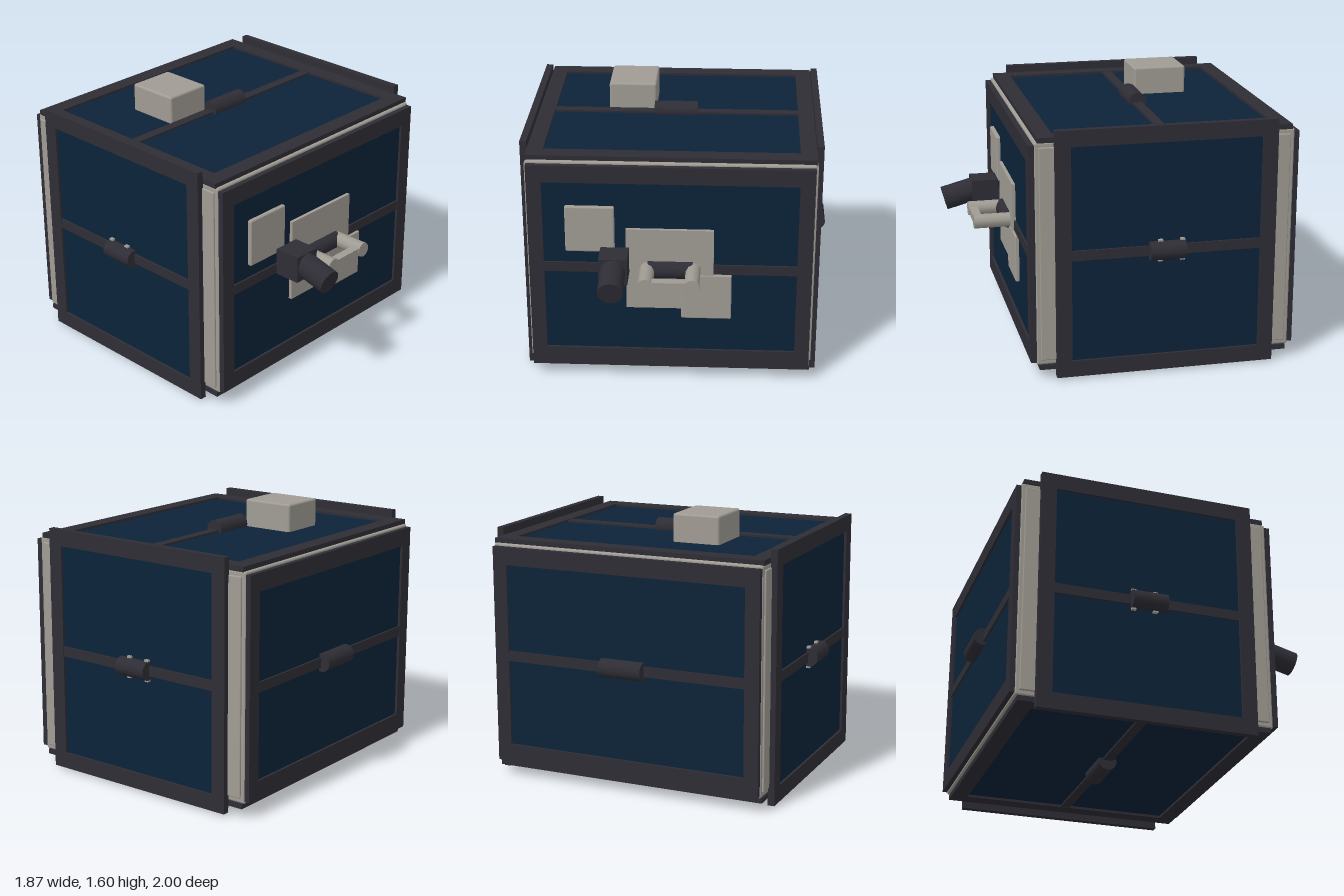
import * as THREE from 'three';
import { RoundedBoxGeometry } from 'three/addons/geometries/RoundedBoxGeometry.js';

const frameMat = new THREE.MeshStandardMaterial({ color: 0x2e2d35 });
frameMat.name = 'charcoal frame';
const panelMat = new THREE.MeshStandardMaterial({ color: 0x0c2339 });
panelMat.name = 'navy panel';
const greyMat = new THREE.MeshStandardMaterial({ color: 0xa09c94 });
greyMat.name = 'warm grey';

const CY = 0.7525, CZ = -0.16; // centre of the body

function add(parent, name, geometry, material, x = 0, y = 0, z = 0) {
  const mesh = new THREE.Mesh(geometry, material);
  mesh.name = name;
  mesh.position.set(x, y, z);
  parent.add(mesh);
  return mesh;
}

// Box given by its lower and upper corners, with optional rounded edges
function block(parent, name, material, a, b, radius = 0) {
  const s = b.map((v, i) => v - a[i]);
  const c = b.map((v, i) => (v + a[i]) / 2);
  const geo = radius ? new RoundedBoxGeometry(...s, 2, radius) : new THREE.BoxGeometry(...s);
  return add(parent, name, geo, material, ...c);
}

function rectangle(Type, w, h) {
  return new Type([[-w, -h], [w, -h], [w, h], [-w, h]].map(([x, y]) => new THREE.Vector2(x / 2, y / 2)));
}

// Framed panel facing local +z: frame, recessed sheet, middle bar and barrel grip
function framedPanel({ name, size, opening, depth, grip, position, rotation }) {
  const group = new THREE.Group();
  group.name = name;
  const shape = rectangle(THREE.Shape, ...size);
  shape.holes.push(rectangle(THREE.Path, ...opening));
  add(group, 'frame', new THREE.ExtrudeGeometry(shape, { depth, bevelEnabled: false }), frameMat, 0, 0, -depth);
  add(group, 'sheet', new THREE.BoxGeometry(opening[0], opening[1], 0.01), panelMat, 0, 0, -0.02);
  add(group, 'crossBar', new THREE.BoxGeometry(opening[0], 0.06, 0.02), frameMat, 0, 0, -0.013);
  const barrel = new THREE.CylinderGeometry(0.055, 0.055, grip, 20).rotateZ(Math.PI / 2);
  add(group, 'grip', barrel, frameMat);
  group.position.set(...position);
  group.rotation.set(...rotation);
  return group;
}

export function createModel() {
  const model = new THREE.Group();
  model.name = 'panelledCube';
  const H = Math.PI / 2;

  // Grey core with a slightly raised step on each flank
  block(model, 'core', greyMat, [-0.838, 0.088, -0.918], [0.838, 1.418, 0.6], 0.012);
  block(model, 'coreStep', greyMat, [-0.848, 0.118, -0.893], [0.848, 1.39, 0.575], 0.006);

  // Six framed panels
  const wall = { size: [1.665, 1.3], opening: [1.49, 1.09], depth: 0.035, grip: 0.265 };
  const lid = { size: [1.68, 1.485], opening: [1.49, 1.285], depth: 0.03, grip: 0.265 };
  const side = { size: [1.295, 1.475], opening: [1.115, 1.28], depth: 0.04, grip: 0.21 };
  model.add(
    framedPanel({ ...wall, name: 'frontPanel', position: [0, CY, 0.632], rotation: [0, 0, 0] }),
    framedPanel({ ...wall, name: 'backPanel', position: [0, CY, -0.946], rotation: [0, Math.PI, 0] }),
    framedPanel({ ...lid, name: 'topPanel', position: [0, 1.445, CZ], rotation: [-H, 0, 0] }),
    framedPanel({ ...lid, name: 'bottomPanel', position: [0, 0.057, CZ], rotation: [H, 0, 0] }),
    framedPanel({ ...side, name: 'leftPanel', position: [0.88, CY, CZ], rotation: [0, H, 0] }),
    framedPanel({ ...side, name: 'rightPanel', position: [-0.88, CY, CZ], rotation: [0, -H, 0] })
  );

  // Small grey clips peeking out around the side grips
  for (const sx of [-1, 1]) for (const z of [-0.25, -0.12]) {
    const [x0, x1] = [sx * 0.865, sx * 0.885].sort((a, b) => a - b);
    block(model, 'gripClip', greyMat, [x0, CY - 0.065, z - 0.014], [x1, CY + 0.065, z + 0.014]);
  }

  // Overlapping grey plates on the front
  block(model, 'centrePlate', greyMat, [-0.26, 0.495, 0.61], [0.255, 1.01, 0.638]);
  block(model, 'lowerPlate', greyMat, [0.065, 0.43, 0.61], [0.362, 0.72, 0.641], 0.008);
  block(model, 'upperPlate', greyMat, [-0.615, 0.86, 0.61], [-0.325, 1.15, 0.641], 0.01);

  // Box on the top
  block(model, 'topBox', greyMat, [-0.415, 1.41, -0.525], [-0.125, 1.597, -0.2], 0.014);

  // Grab handle: two posts joined by a bar
  const handle = new THREE.Group();
  handle.name = 'grabHandle';
  for (const x of [-0.135, 0.135]) {
    const post = new THREE.CylinderGeometry(0.045, 0.045, 0.225, 10).rotateX(H);
    add(handle, 'handlePost', post, greyMat, x, 0.755, 0.743);
  }
  block(handle, 'handleBar', greyMat, [-0.13, 0.732, 0.802], [0.13, 0.778, 0.853]);
  model.add(handle);

  // Camera with a barrel tilted downwards
  const camera = new THREE.Group();
  camera.name = 'camera';
  block(camera, 'cameraBody', frameMat, [-0.407, 0.735, 0.648], [-0.24, 0.897, 0.81]);
  const lens = new THREE.CylinderGeometry(0.074, 0.074, 0.22, 24).rotateX(H + 0.26);
  add(camera, 'cameraBarrel', lens, frameMat, -0.325, 0.8, 0.876);
  model.add(camera);

  return model;
}
